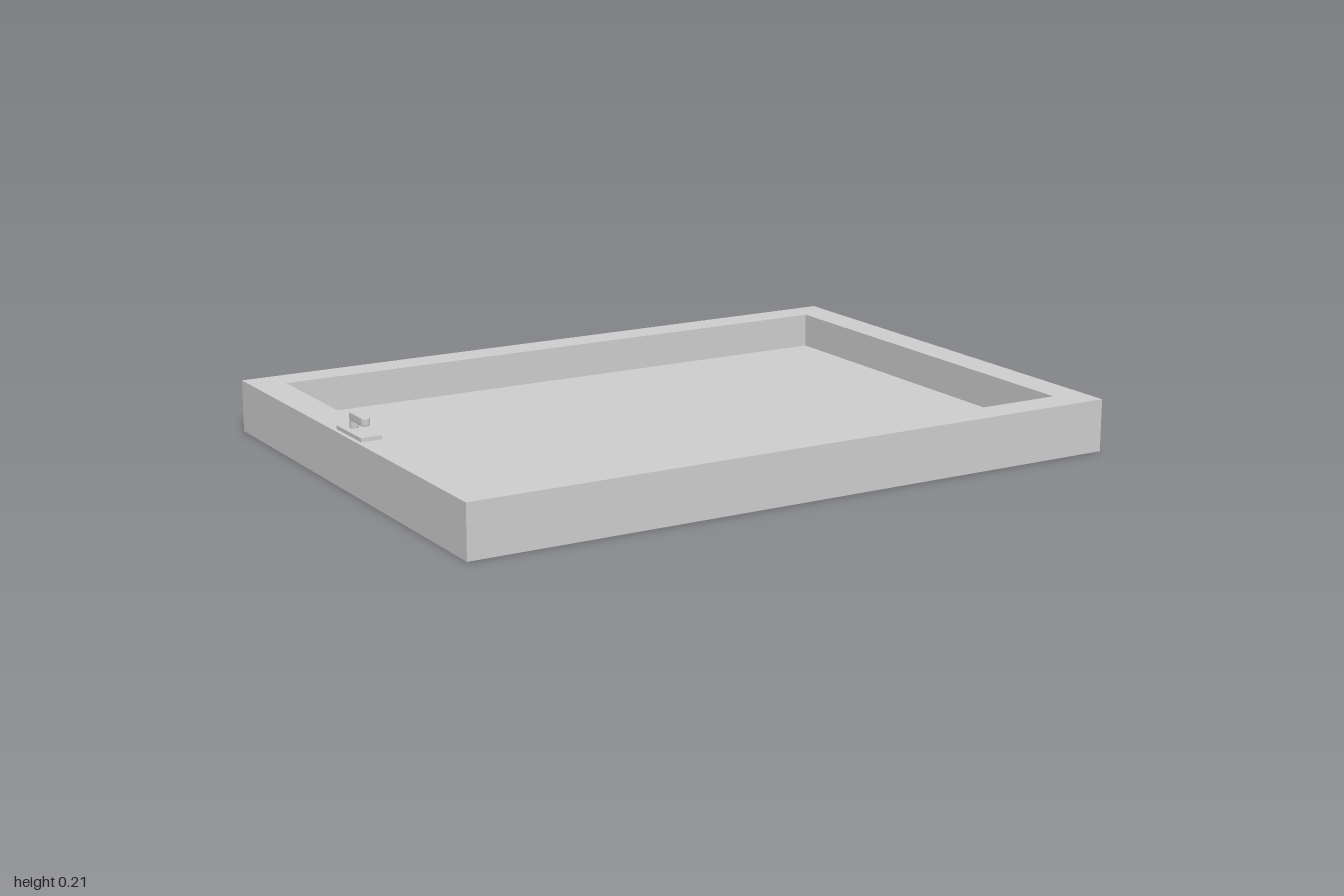
import * as THREE from 'three';

const material = new THREE.MeshStandardMaterial({ color: 0xcccccc });

function rectPath(target, hx, hz) {
  target.moveTo(-hx, -hz);
  target.lineTo(hx, -hz);
  target.lineTo(hx, hz);
  target.lineTo(-hx, hz);
  target.closePath();
  return target;
}

function addMesh(parent, name, geometry, x = 0, y = 0, z = 0) {
  const mesh = new THREE.Mesh(geometry, material);
  mesh.name = name;
  mesh.position.set(x, y, z);
  parent.add(mesh);
  return mesh;
}

export function createModel() {
  const model = new THREE.Group();
  model.name = 'framedPanel';

  const height = 0.152, hx = 1, hz = 0.726, border = 0.097, floor = 0.05;

  // Rectangular frame around the recess
  const outline = rectPath(new THREE.Shape(), hx, hz);
  outline.holes.push(rectPath(new THREE.Path(), hx - border, hz - border));
  const frame = new THREE.ExtrudeGeometry(outline, { depth: height, bevelEnabled: false });
  frame.rotateX(-Math.PI / 2);
  addMesh(model, 'frame', frame);

  // Sunken panel filling the opening
  addMesh(model, 'panel',
    new THREE.BoxGeometry(2 * (hx - border), floor, 2 * (hz - border)), 0, floor / 2, 0);

  // Latch handle on the right border
  const handle = new THREE.Group();
  handle.name = 'handle';
  handle.position.set(-0.957, height, 0);
  model.add(handle);

  addMesh(handle, 'handlePlate', new THREE.BoxGeometry(0.062, 0.011, 0.158), 0, 0.0055, 0.003);
  addMesh(handle, 'handleStem', new THREE.CylinderGeometry(0.0125, 0.0125, 0.034, 24), 0, 0.025, -0.028);

  // Lever: a bar with rounded ends and softened edges
  const bevel = 0.004, r = 0.013 - bevel, zBack = -0.028, zFront = 0.043;
  const bar = new THREE.Shape();
  bar.absarc(0, -zBack, r, 0, Math.PI, false);
  bar.absarc(0, -zFront, r, Math.PI, 2 * Math.PI, false);
  bar.closePath();
  const lever = new THREE.ExtrudeGeometry(bar, {
    depth: 0.024 - 2 * bevel, bevelThickness: bevel, bevelSize: bevel,
    bevelSegments: 3, curveSegments: 16,
  });
  lever.rotateX(-Math.PI / 2);
  addMesh(handle, 'handleLever', lever, 0, 0.033 + bevel, 0);

  return model;
}
